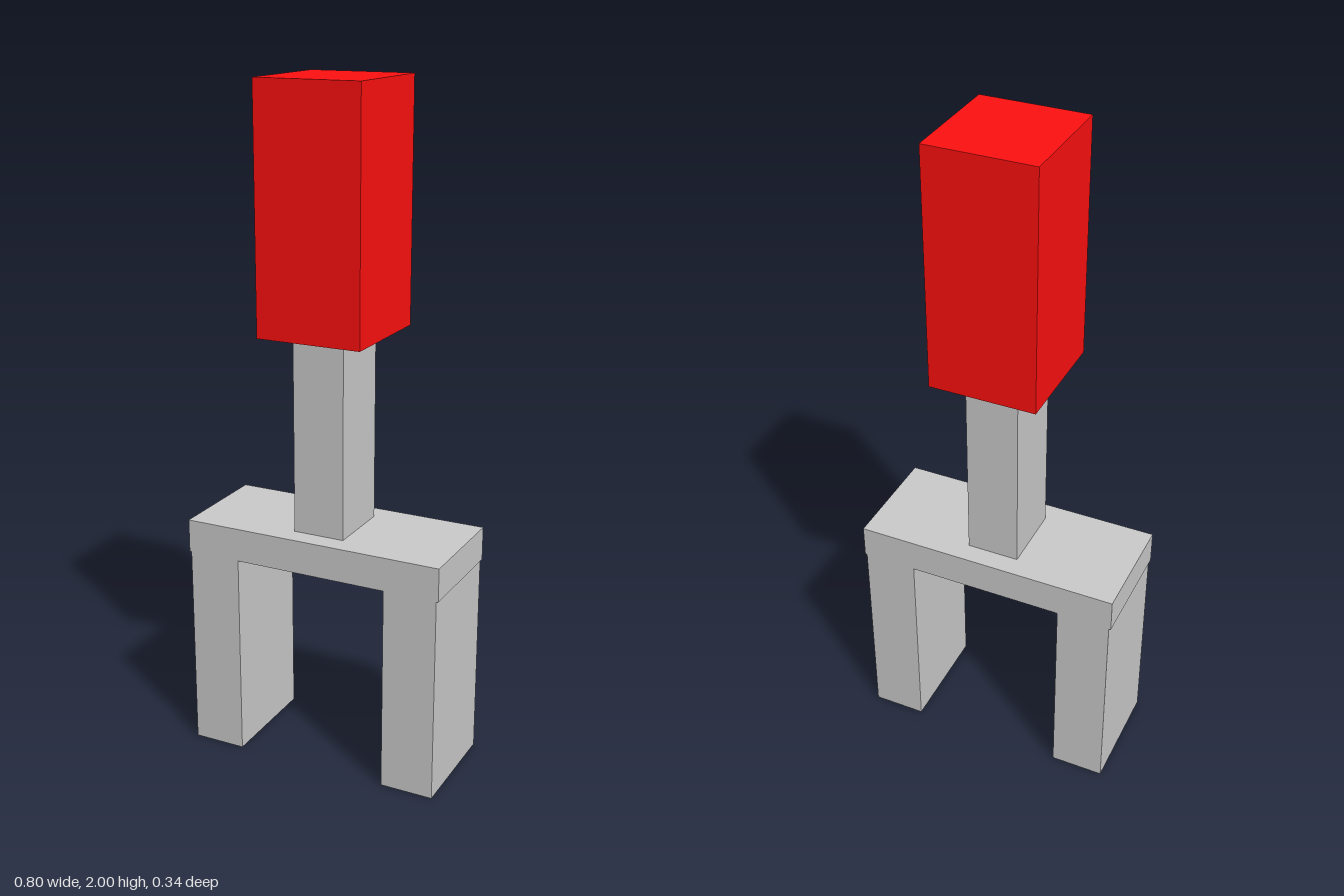
import * as THREE from 'three';

export function createModel() {
  const model = new THREE.Group();
  const grey = new THREE.MeshStandardMaterial({ color: 0xcccccc, flatShading: true });
  const red = new THREE.MeshStandardMaterial({ color: 0xff1010, flatShading: true });

  // Box standing on y = bottom, centred on z = 0
  function addBox(name, width, bottom, top, depth, material, x = 0) {
    const mesh = new THREE.Mesh(new THREE.BoxGeometry(width, top - bottom, depth), material);
    mesh.name = name;
    mesh.position.set(x, (bottom + top) / 2, 0);
    model.add(mesh);
  }

  // Pair of legs, set in slightly from the ends of the crossbar
  for (const [name, side] of [['leftLeg', 1], ['rightLeg', -1]]) {
    addBox(name, 0.16, 0, 0.62, 0.335, grey, side * 0.314);
  }

  // Crossbar joining the legs
  addBox('crossbar', 0.8, 0.62, 0.72, 0.335, grey);

  // Slim post and the red block on top
  addBox('post', 0.156, 0.72, 1.3, 0.21, grey);
  addBox('topBlock', 0.315, 1.3, 2, 0.335, red);

  return model;
}
